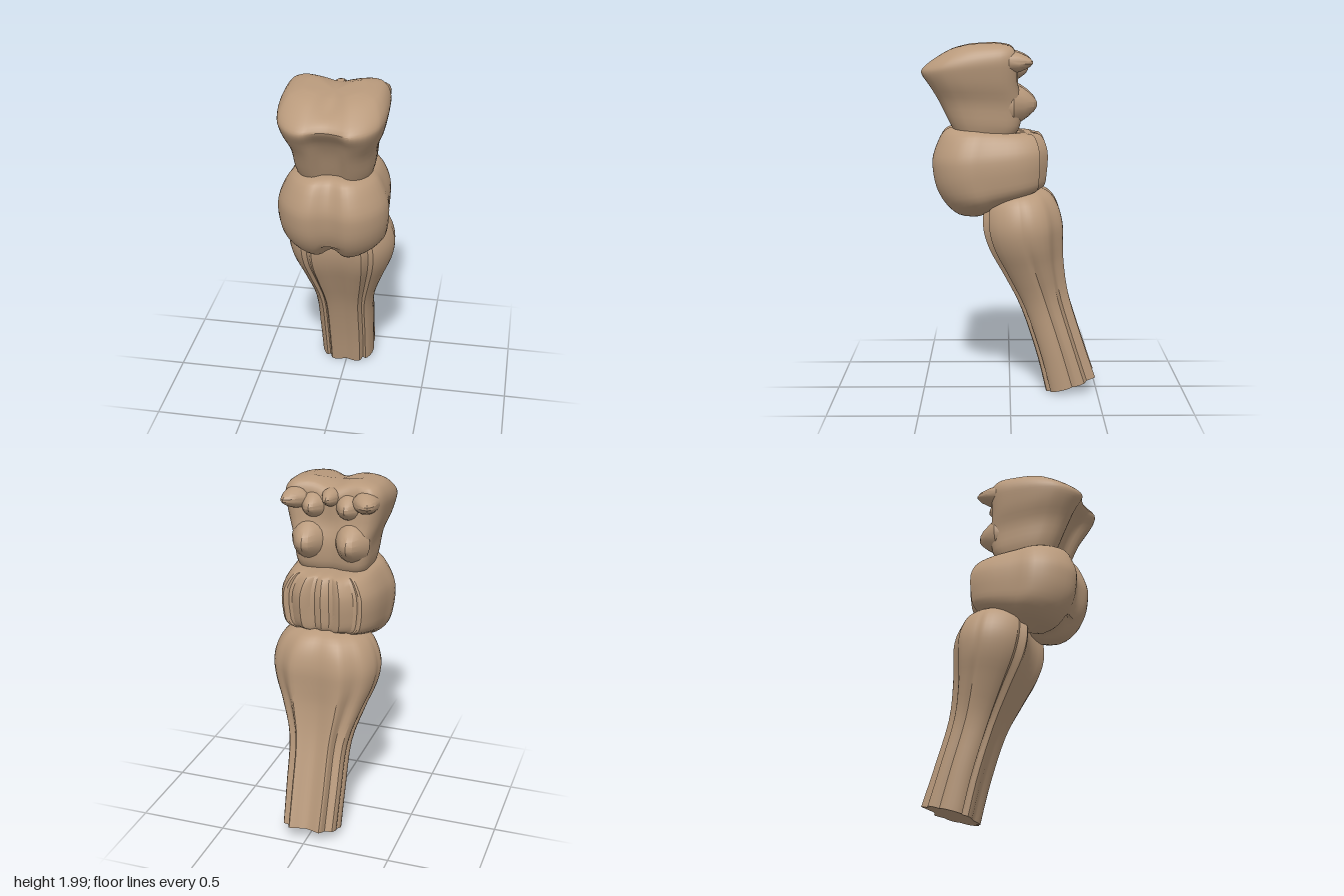
import * as THREE from 'three';
import { mergeVertices, toCreasedNormals } from 'three/addons/utils/BufferGeometryUtils.js';

const tissue = new THREE.MeshStandardMaterial({ color: 0xb99a7c });
tissue.name = 'tissue tan';

// Closed outline from a right-hand half profile (u across, v front to back)
function outline(half, n) {
  const mirrored = half.slice(1, -1).reverse().map(([u, v]) => [-u, v]);
  const pts = [...half, ...mirrored].map(([u, v]) => new THREE.Vector3(u, 0, v));
  const curve = new THREE.CatmullRomCurve3(pts, true, 'centripetal');
  return Array.from({ length: n }, (_, i) => curve.getPoint(i / n));
}

// Smooth interpolation through rows of numbers
function sampleRows(rows, t) {
  const x = t * (rows.length - 1);
  const i = Math.min(Math.floor(x), rows.length - 2);
  const f = x - i;
  const at = (j) => rows[Math.max(0, Math.min(rows.length - 1, j))];
  return rows[0].map((_, c) => {
    const [p, q, r, s] = [at(i - 1)[c], at(i)[c], at(i + 1)[c], at(i + 2)[c]];
    return q + 0.5 * f * (r - p + f * (2 * p - 5 * q + 4 * r - s + f * (3 * (q - r) + s - p)));
  });
}

// Loft bottom to top; row: front z, front y, back z, back y, half width, blend from A to B
function loft(rows, halfA, halfB, adjust = () => {}, n = 64, steps = 24) {
  const A = outline(halfA, n), B = outline(halfB, n);
  const pos = [], index = [], p = new THREE.Vector3();
  const push = () => { adjust(p); pos.push(p.x, p.y, p.z); };
  for (let j = 0; j <= steps; j++) {
    const [fz, fy, bz, by, w, k] = sampleRows(rows, j / steps);
    for (let i = 0; i < n; i++) {
      const u = THREE.MathUtils.lerp(A[i].x, B[i].x, k);
      const v = THREE.MathUtils.lerp(A[i].z, B[i].z, k);
      const s = (v + 1) / 2;
      p.set(u * w, by + (fy - by) * s, bz + (fz - bz) * s);
      push();
      if (j < steps) {
        const a = j * n + i, b = j * n + (i + 1) % n;
        index.push(a, b, b + n, a, b + n, a + n);
      }
    }
  }
  // End caps
  for (const j of [0, steps]) {
    const [fz, fy, bz, by] = sampleRows(rows, j / steps);
    const c = pos.length / 3;
    p.set(0, (fy + by) / 2, (fz + bz) / 2);
    push();
    for (let i = 0; i < n; i++) {
      const a = j * n + i, b = j * n + (i + 1) % n;
      if (j) index.push(c, a, b); else index.push(c, b, a);
    }
  }
  const g = new THREE.BufferGeometry();
  g.setAttribute('position', new THREE.Float32BufferAttribute(pos, 3));
  g.setIndex(index);
  return toCreasedNormals(g, 0.55);
}

// Rounded lump with a blunt point facing backwards
function lump(size, point) {
  const g = new THREE.SphereGeometry(1, 12, 9);
  g.deleteAttribute('uv');
  g.deleteAttribute('normal');
  const a = g.attributes.position;
  for (let i = 0; i < a.count; i++) {
    const z = a.getZ(i), taper = z < 0 ? 1 + z * point : 1;
    a.setXYZ(i, a.getX(i) * taper * size[0], a.getY(i) * taper * size[1], z * size[2]);
  }
  return toCreasedNormals(mergeVertices(g), 0.5);
}

export function createModel() {
  const model = new THREE.Group();
  model.name = 'brainstem';
  const add = (name, geometry, x = 0, y = 0, z = 0) => {
    const mesh = new THREE.Mesh(geometry, tissue);
    mesh.name = name;
    mesh.position.set(x, y, z);
    model.add(mesh);
    return mesh;
  };

  // Lower stalk: grooved at the bottom, rounder in its upper swelling
  add('lowerStalk', loft([
    [-0.205, 0.005, -0.49, 0.09, 0.16, 0],
    [-0.15, 0.23, -0.415, 0.31, 0.165, 0],
    [-0.06, 0.5, -0.335, 0.57, 0.175, 0.1],
    [0.04, 0.7, -0.305, 0.76, 0.235, 0.35],
    [0.12, 0.85, -0.3, 0.89, 0.29, 0.65],
    [0.155, 0.97, -0.298, 1.0, 0.308, 0.8],
    [0.15, 1.08, -0.27, 1.1, 0.28, 0.9],
    [0.12, 1.15, -0.215, 1.17, 0.22, 1],
    [0.05, 1.2, -0.13, 1.2, 0.1, 1],
  ], [
    [0, 0.9], [0.3, 0.98], [0.55, 0.94], [0.64, 0.74], [0.76, 0.8], [0.96, 0.5],
    [1, 0.1], [0.92, -0.05], [0.98, -0.22], [0.9, -0.55], [0.68, -0.64],
    [0.63, -0.82], [0.56, -1], [0.3, -0.88], [0, -0.76],
  ], [
    [0, 0.82], [0.25, 0.86], [0.45, 0.98], [0.54, 0.84], [0.66, 0.82], [0.9, 0.45],
    [1, 0.1], [0.99, -0.05], [0.97, -0.25], [0.84, -0.6], [0.7, -0.75],
    [0.58, -0.86], [0.45, -0.96], [0.25, -1], [0, -0.97],
  ], undefined, 72, 28));

  // Middle bulge: two front lobes and a ridged back, notched underneath
  const bulge = [
    [0, 0.92], [0.13, 0.945], [0.32, 1], [0.55, 0.95], [0.84, 0.72], [1, 0.4], [0.97, 0.1],
    [0.95, -0.2], [0.9, -0.55], [0.74, -0.86], [0.62, -0.82], [0.37, -1], [0.17, -0.88], [0, -0.95],
  ];
  add('middleBulge', loft([
    [0.2, 1.02, -0.1, 1.165, 0.12, 0],
    [0.29, 1.045, -0.17, 1.19, 0.22, 0],
    [0.36, 1.11, -0.195, 1.22, 0.278, 0],
    [0.41, 1.2, -0.205, 1.29, 0.297, 0],
    [0.43, 1.3, -0.21, 1.36, 0.302, 0],
    [0.428, 1.38, -0.205, 1.42, 0.29, 0],
    [0.385, 1.49, -0.18, 1.48, 0.245, 0],
    [0.34, 1.53, -0.14, 1.5, 0.2, 0],
    [0.28, 1.535, -0.02, 1.505, 0.16, 0],
  ], bulge, bulge, (p) => {
    if (p.y < 1.12 && p.z > 0.1) p.y += 0.03 * Math.exp(-((p.x / 0.05) ** 2));
  }));

  // Upper block: hollow front between two pillars, swelling to a domed top
  add('upperBlock', loft([
    [0.31, 1.505, -0.03, 1.505, 0.2, 0],
    [0.345, 1.57, -0.05, 1.55, 0.215, 0],
    [0.40, 1.68, -0.06, 1.66, 0.228, 0],
    [0.45, 1.765, -0.04, 1.76, 0.262, 0.1],
    [0.487, 1.825, -0.04, 1.85, 0.28, 0.6],
    [0.48, 1.86, -0.04, 1.91, 0.285, 1],
    [0.42, 1.91, -0.03, 1.955, 0.272, 1],
    [0.33, 1.965, 0, 1.985, 0.235, 1],
    [0.25, 1.99, 0.08, 2.0, 0.15, 1],
  ], [
    [0, 0.74], [0.22, 0.78], [0.45, 0.96], [0.7, 0.88], [0.9, 0.6], [0.97, 0.35],
    [1, 0.1], [0.99, -0.4], [0.94, -0.8], [0.78, -1], [0.4, -1], [0, -0.9],
  ], [
    [0, 0.9], [0.22, 0.94], [0.43, 1], [0.7, 0.86], [0.9, 0.6], [0.96, 0.4],
    [1, 0.1], [1, -0.4], [0.95, -0.8], [0.8, -0.98], [0.4, -0.92], [0, -0.98],
  ], (p) => {
    if (p.y > 1.9) p.y -= 0.03 * Math.exp(-((p.x / 0.07) ** 2)) * Math.min(1, (p.y - 1.9) / 0.06);
  }));

  // Mirrored lumps on the back of the upper block
  for (const [side, s] of [['left', 1], ['right', -1]]) {
    add(side + 'LowerBackLump', lump([0.1, 0.115, 0.13], 0.4), s * 0.125, 1.665, -0.02);
    const upper = add(side + 'UpperBackLump', lump([0.075, 0.06, 0.11], 0.35), s * 0.2, 1.895, -0.02);
    upper.rotation.y = -s * 0.35;
    add(side + 'InnerBackLump', lump([0.07, 0.07, 0.08], 0.4), s * 0.1, 1.86, -0.02);
  }
  add('centreBackLump', lump([0.05, 0.05, 0.09], 0.4), 0, 1.91, -0.02);
  return model;
}
